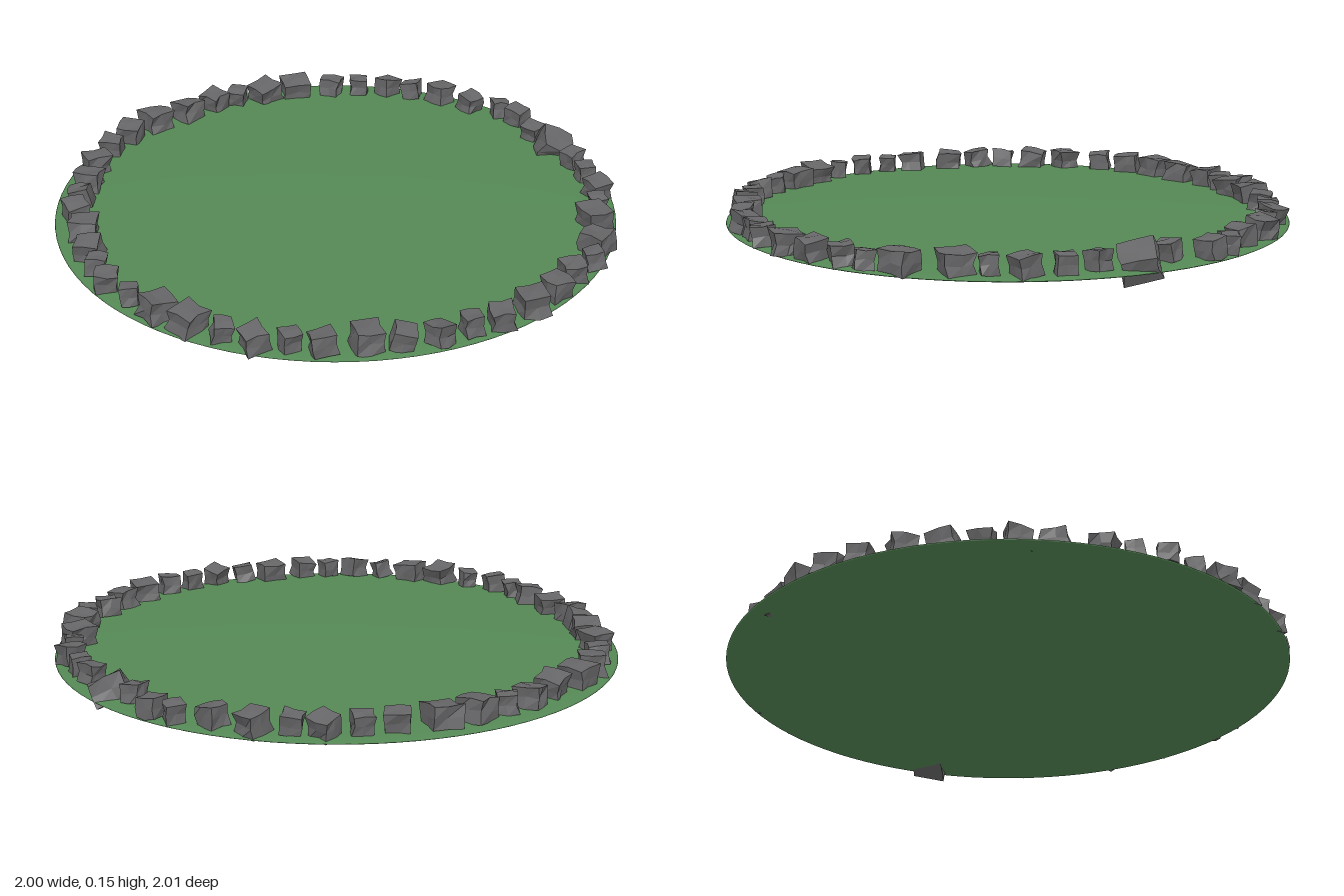
import * as THREE from 'three';

// Stones in order around the ring: x, z, width (hundredths of a unit)
const STONES = [
  [0, -90, 10.5], [13, -90, 10.5], [27, -87, 8], [38, -84, 7], [49, -80, 8], [57, -73.5, 7],
  [67, -66.5, 9], [75, -55, 8], [84, -46, 6.5], [88, -38, 8], [87.5, -23.5, 7], [91.5, -12, 12.5],
  [92.5, 2, 7], [92.5, 13, 6.5], [91, 25.5, 8], [86.5, 35.5, 6], [81, 44.5, 10], [74, 60, 10],
  [68, 70, 6.5], [58, 74.5, 8], [48.5, 82, 8.5], [37.5, 88, 10], [24.5, 93, 8], [14, 93.5, 7],
  [2.5, 95.5, 7.5], [-9, 94, 7.5], [-20, 90.5, 10], [-34, 88.5, 8], [-43, 84, 6.5], [-53.5, 80, 8],
  [-61.5, 72, 6.5], [-70, 63, 10], [-78, 53, 10], [-84.5, 42.5, 6], [-90, 31.5, 7.5], [-91, 20.5, 6.5],
  [-91.5, 10, 9], [-90.5, -5, 9.5], [-90.5, -17.5, 8.5], [-87, -27.5, 8], [-82, -38.5, 9.5], [-76.5, -51, 9],
  [-68.5, -63, 8], [-59.5, -71.5, 9.5], [-47.5, -79, 10.5], [-33.5, -83.5, 9.5], [-21.5, -88.5, 9], [-11.5, -90, 7.5],
];
const LARGEST = 11;

// Repeatable value in -1..1
function noise(n) {
  const s = Math.sin(n * 127.1 + 11.7) * 43758.5453;
  return (s - Math.floor(s)) * 2 - 1;
}

// Chipped block: a cube with a slight waist and uneven corners
function stoneGeometry(seed) {
  const geo = new THREE.BoxGeometry(1, 1, 1, 2, 2, 2);
  const p = geo.attributes.position;
  for (let i = 0; i < p.count; i++) {
    const x = p.getX(i), y = p.getY(i), z = p.getZ(i);
    const key = seed * 31 + (x * 2 + 1) * 9 + (y * 2 + 1) * 3 + (z * 2 + 1);
    const waist = Math.abs(y) < 0.1 ? 0.9 : 0.97;
    p.setXYZ(i,
      x * waist + noise(key) * 0.08,
      y * 0.97 + noise(key + 0.37) * 0.06,
      z * waist + noise(key + 0.71) * 0.08);
  }
  geo.computeVertexNormals();
  return geo;
}

export function createModel() {
  const model = new THREE.Group();
  model.name = 'stoneCircle';

  // Grass pad: a very flat smooth lens
  const grass = new THREE.Mesh(
    new THREE.SphereGeometry(1, 96, 32),
    new THREE.MeshStandardMaterial({ color: 0x558855 }));
  grass.name = 'grassPad';
  grass.scale.set(1, 0.025, 1);
  grass.position.y = 0.053;
  model.add(grass);

  // Ring of loose stones
  const ring = new THREE.Group();
  ring.name = 'stoneRing';
  const stoneMaterial = new THREE.MeshStandardMaterial({ color: 0x666668, flatShading: true });
  STONES.forEach(([x, z, w], i) => {
    const width = w / 100;
    const height = 0.045 + 0.33 * width;
    const tilt = i === LARGEST ? 0.3 : 0.16;
    const stone = new THREE.Mesh(stoneGeometry(i + 1), stoneMaterial);
    stone.name = 'stone' + (i + 1);
    stone.scale.set(width, height, width);
    stone.position.set(x / 100, i === LARGEST ? 0.077 : 0.092, z / 100);
    stone.rotation.set(
      i === LARGEST ? tilt : noise(i + 200) * tilt,
      noise(i + 300) * 0.6,
      i === LARGEST ? -tilt : noise(i + 400) * tilt);
    ring.add(stone);
  });
  model.add(ring);

  return model;
}
